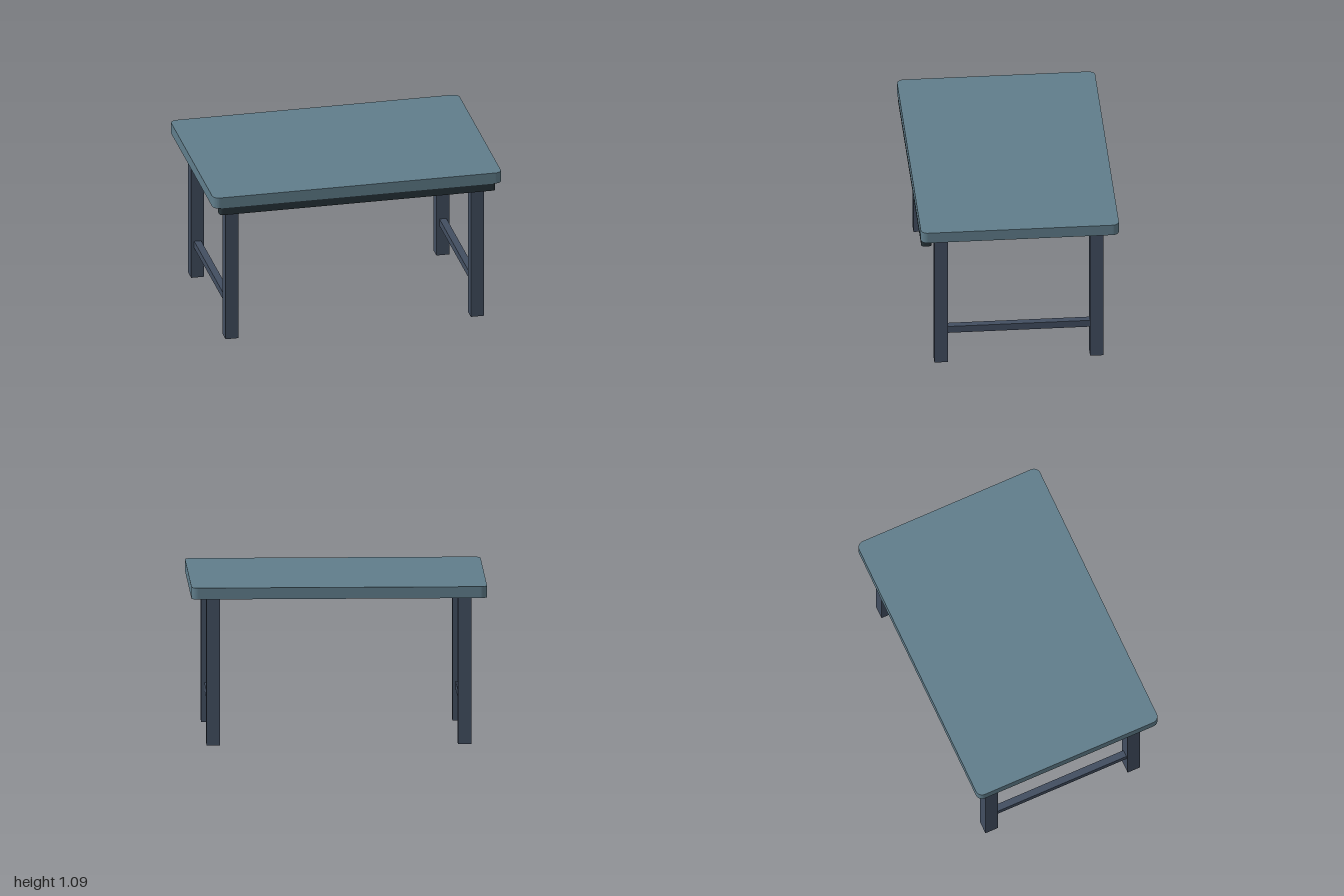
import * as THREE from 'three';

const material = (name, color) => {
  const m = new THREE.MeshStandardMaterial({ color });
  m.name = name;
  return m;
};

// Horizontal slab with rounded corners in plan, its underside at y = 0
function roundedSlab(width, depth, height, radius) {
  const x = width / 2, z = depth / 2, r = radius;
  const s = new THREE.Shape();
  s.moveTo(-x + r, -z);
  s.absarc(x - r, -z + r, r, -Math.PI / 2, 0);
  s.absarc(x - r, z - r, r, 0, Math.PI / 2);
  s.absarc(-x + r, z - r, r, Math.PI / 2, Math.PI);
  s.absarc(-x + r, -z + r, r, Math.PI, Math.PI * 1.5);
  const g = new THREE.ExtrudeGeometry(s, { depth: height, bevelEnabled: false, curveSegments: 8 });
  return g.rotateX(-Math.PI / 2);
}

export function createModel() {
  const table = new THREE.Group();
  table.name = 'table';
  const topPaint = material('blue grey top', 0x607d8b);
  const framePaint = material('slate frame', 0x424e60);
  const trimPaint = material('dark trim', 0x263238);

  const add = (name, geometry, paint, x, y, z) => {
    const mesh = new THREE.Mesh(geometry, paint);
    mesh.name = name;
    mesh.position.set(x, y, z);
    table.add(mesh);
  };

  // Table top and the dark strip under its front edge
  add('tableTop', roundedSlab(2, 1.344, 0.078, 0.046), topPaint, 0, 1.013, 0);
  add('frontStrip', roundedSlab(1.91, 0.071, 0.053, 0.02), trimPaint, 0, 0.96, 0.632);

  // Square legs, joined in pairs by a low side rail
  const leg = new THREE.BoxGeometry(0.09, 1, 0.092);
  const rail = new THREE.BoxGeometry(0.048, 0.05, 0.966);
  for (const [side, sx] of [['left', 1], ['right', -1]]) {
    add(side + 'FrontLeg', leg, framePaint, sx * 0.85, 0.5, 0.528);
    add(side + 'BackLeg', leg, framePaint, sx * 0.85, 0.5, -0.528);
    add(side + 'Rail', rail, framePaint, sx * 0.85, 0.243, 0);
  }
  return table;
}
